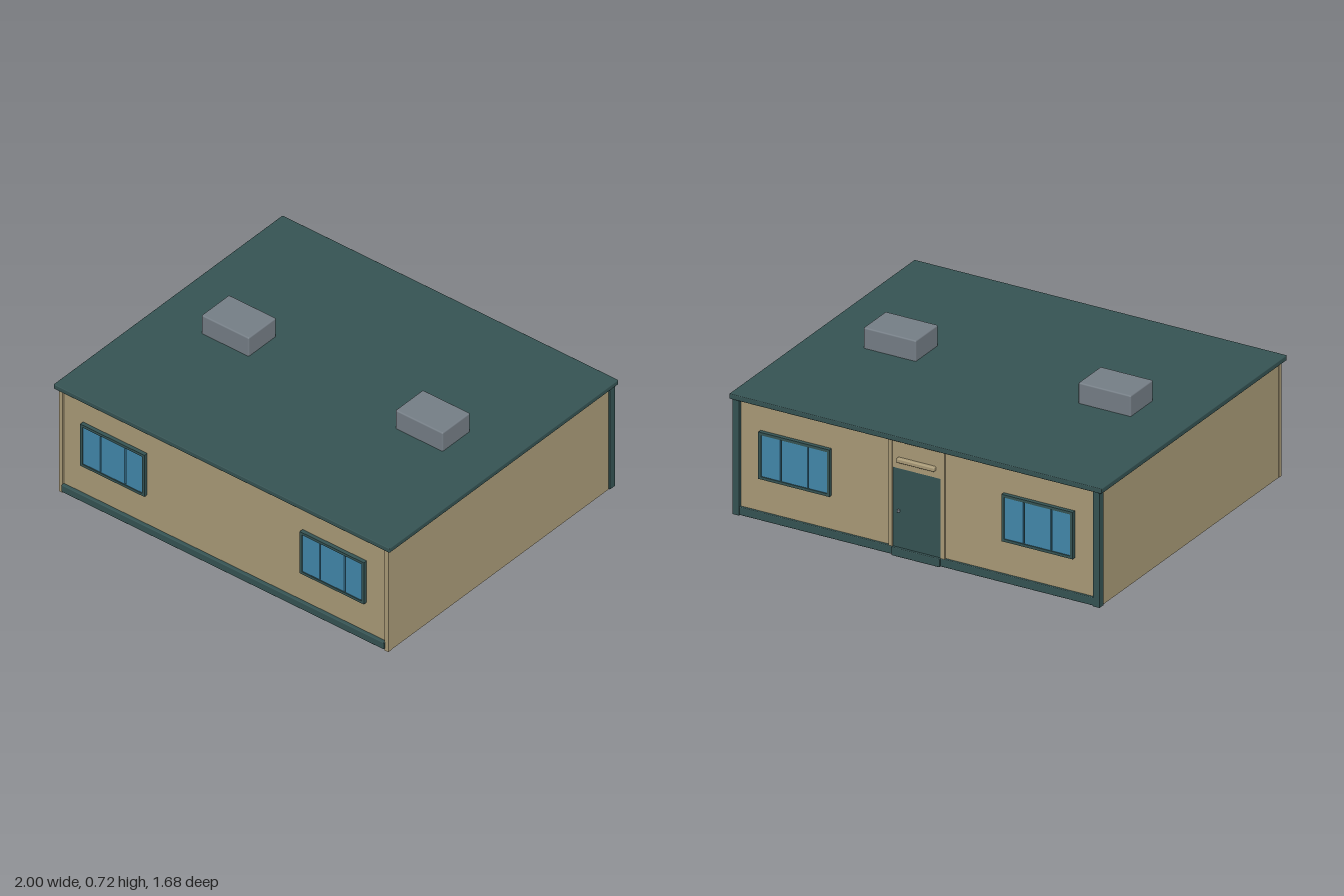
import * as THREE from 'three';
import { RoundedBoxGeometry } from 'three/addons/geometries/RoundedBoxGeometry.js';

const mat = (name, color) => {
  const m = new THREE.MeshStandardMaterial({ color });
  m.name = name;
  return m;
};

export function createModel() {
  const sand = mat('sand wall', 0xaa9b78);
  const teal = mat('dark teal trim', 0x355353);
  const glass = mat('blue glass', 0x4288ab);
  const grey = mat('vent grey', 0x757e86);
  const stone = mat('floor grey', 0x85837a);
  const model = new THREE.Group();
  model.name = 'building';

  // Box given by its limits on each axis, optionally with softened edges
  function box(parent, name, material, [x0, x1], [y0, y1], [z0, z1], radius = 0) {
    const size = [x1 - x0, y1 - y0, z1 - z0];
    const geometry = radius ? new RoundedBoxGeometry(...size, 2, radius) : new THREE.BoxGeometry(...size);
    const mesh = new THREE.Mesh(geometry, material);
    mesh.position.set((x0 + x1) / 2, (y0 + y1) / 2, (z0 + z1) / 2);
    mesh.name = name;
    parent.add(mesh);
    return mesh;
  }

  // Shell: front and back walls, recessed floor and overhanging roof
  box(model, 'frontWall', sand, [-0.96, 0.96], [0, 0.595], [0.78, 0.813]);
  box(model, 'backWall', sand, [-0.96, 0.96], [0, 0.595], [-0.812, -0.78]);
  box(model, 'floor', stone, [-0.96, 0.96], [0.006, 0.02], [-0.79, 0.79]);
  box(model, 'roof', teal, [-1, 1], [0.59, 0.616], [-0.835, 0.838], 0.004);

  for (const s of [-1, 1]) {
    const side = (a, b) => (s > 0 ? [a, b] : [-b, -a]);
    const label = s > 0 ? 'left' : 'right';
    box(model, label + 'Wall', sand, side(0.955, 0.978), [0, 0.595], [-0.8, 0.805]);
    box(model, label + 'FrontPost', sand, side(0.958, 0.98), [0, 0.595], [0.8, 0.822]);
    box(model, label + 'BackPost', teal, side(0.95, 0.985), [0.002, 0.595], [-0.828, -0.79]);
    box(model, label + 'RoofVent', grey, side(0.436, 0.718), [0.606, 0.721], [-0.098, 0.104], 0.007);
  }

  // Base boards
  box(model, 'frontBaseBoard', teal, [-0.96, 0.96], [0.01, 0.05], [0.8, 0.831], 0.004);
  box(model, 'backBaseBoard', teal, [-0.96, 0.96], [0.004, 0.045], [-0.826, -0.8], 0.004);

  // Three-pane window, facing +z with its back on z = 0
  function makeWindow(name, x, z, turn) {
    const w = new THREE.Group();
    w.name = name;
    box(w, 'backing', teal, [-0.185, 0.185], [-0.115, 0.115], [-0.004, 0.008]);
    for (const s of [-1, 1]) {
      const span = (a, b) => (s > 0 ? [a, b] : [-b, -a]);
      box(w, 'frameSide', teal, span(0.177, 0.191), [-0.12, 0.12], [-0.004, 0.021]);
      box(w, 'frameRail', teal, [-0.191, 0.191], span(0.106, 0.12), [-0.004, 0.021]);
      box(w, 'sidePane', glass, span(0.077, 0.177), [-0.106, 0.106], [0.008, 0.016]);
    }
    box(w, 'middlePane', glass, [-0.07, 0.07], [-0.106, 0.106], [0.008, 0.016]);
    w.position.set(x, 0.338, z);
    w.rotation.y = turn;
    model.add(w);
  }
  for (const x of [-0.653, 0.653]) {
    makeWindow('frontWindow', x, 0.813, 0);
    makeWindow('backWindow', x, -0.812, Math.PI);
  }

  // Back entrance: raised surround, door, handle and lamp
  const entrance = new THREE.Group();
  entrance.name = 'entrance';
  model.add(entrance);
  box(entrance, 'leftJamb', sand, [0.13, 0.15], [0.045, 0.592], [-0.824, -0.8]);
  box(entrance, 'rightJamb', sand, [-0.15, -0.13], [0.045, 0.592], [-0.824, -0.8]);
  box(entrance, 'lintel', sand, [-0.13, 0.13], [0.45, 0.592], [-0.822, -0.8]);
  box(entrance, 'door', teal, [-0.13, 0.13], [0.04, 0.45], [-0.819, -0.8]);
  box(entrance, 'handle', grey, [0.09, 0.104], [0.225, 0.239], [-0.829, -0.815], 0.004);
  box(entrance, 'lamp', sand, [-0.104, 0.1], [0.485, 0.508], [-0.841, -0.815], 0.006);
  box(entrance, 'doorStep', teal, [-0.13, 0.13], [0.002, 0.045], [-0.834, -0.81], 0.004);

  return model;
}
